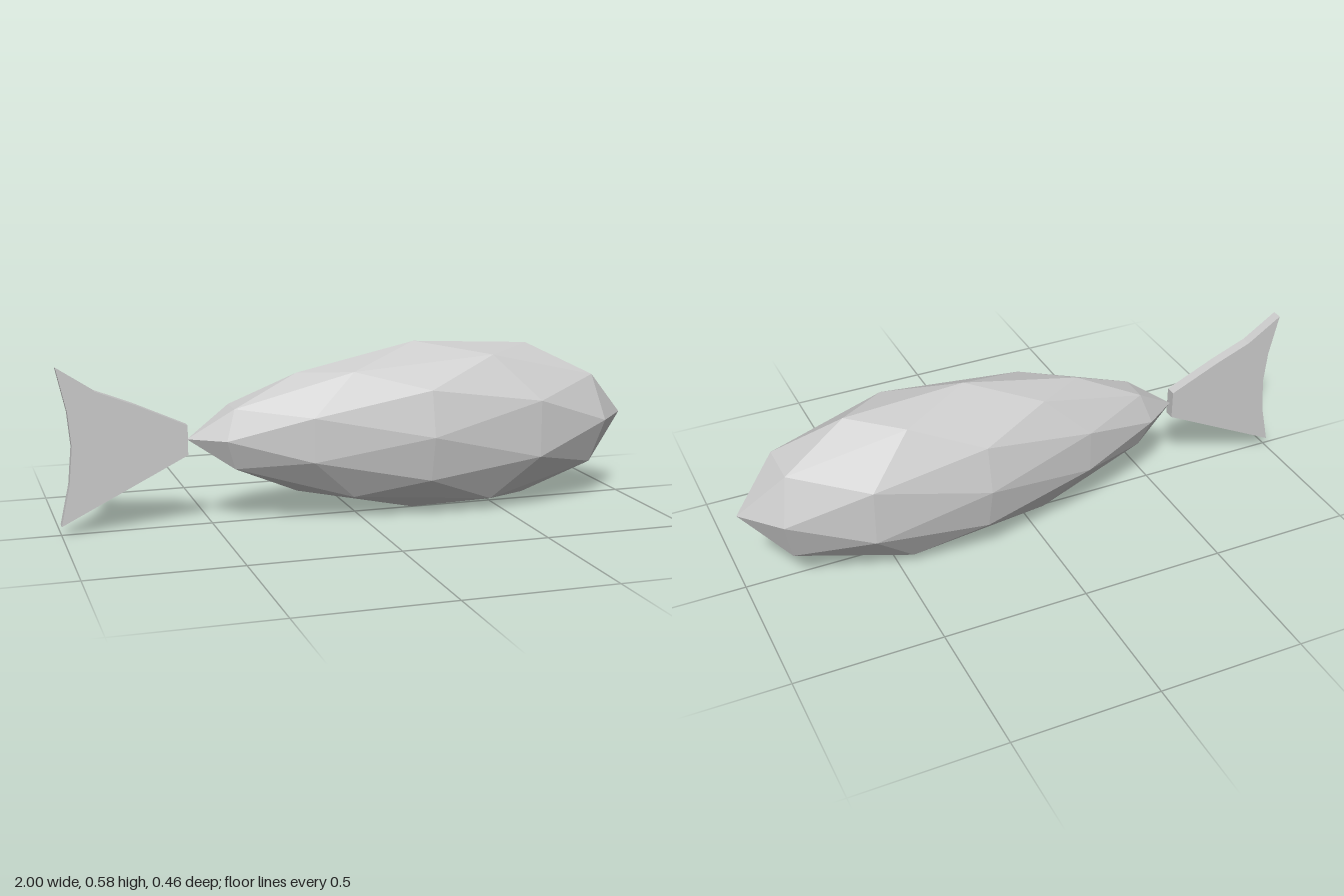
import * as THREE from 'three';

const MID_Y = 0.295;

export function createModel() {
  const model = new THREE.Group();
  const material = new THREE.MeshStandardMaterial({ color: 0xcccccc, flatShading: true });

  // Faceted body: a stretched icosphere, fuller toward the head and slimmer toward the tail
  const bodyGeometry = new THREE.IcosahedronGeometry(1, 1);
  const pos = bodyGeometry.attributes.position;
  for (let i = 0; i < pos.count; i++) {
    const x = pos.getX(i);
    const girth = 1 + 0.264 * x - 0.18 * x * x - 0.045 * x ** 3;
    pos.setXYZ(i, 0.21 + 0.79 * x, MID_Y + 0.2925 * girth * pos.getY(i), 0.23 * girth * pos.getZ(i));
  }
  bodyGeometry.computeVertexNormals();
  const body = new THREE.Mesh(bodyGeometry, material);
  body.name = 'body';
  model.add(body);

  // Flat tail fin with a concave trailing edge
  const outline = [
    [-0.58, 0.245], [-0.58, 0.345], [-0.755, 0.425], [-0.88, 0.475], [-1, 0.555],
    [-0.968, 0.41], [-0.958, 0.295], [-0.97, 0.17], [-1, 0.035],
  ];
  const finShape = new THREE.Shape(outline.map(([x, y]) => new THREE.Vector2(x, y)));
  const depth = 0.036;
  const finGeometry = new THREE.ExtrudeGeometry(finShape, { depth, bevelEnabled: false });
  finGeometry.translate(0, 0, -depth / 2);
  const fin = new THREE.Mesh(finGeometry, material);
  fin.name = 'tailFin';
  model.add(fin);

  return model;
}
